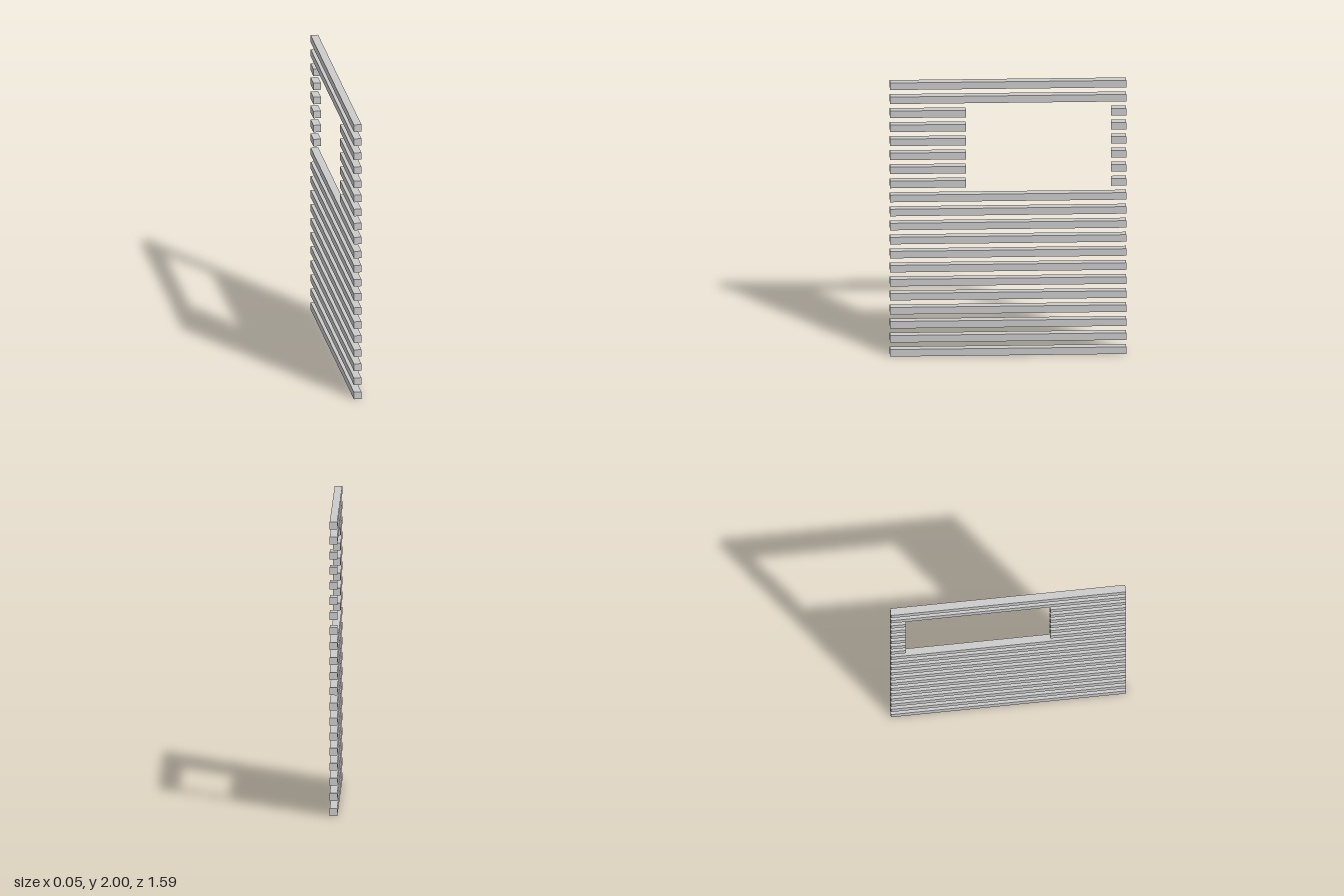
import * as THREE from 'three';

const SLATS = 20;
const H = 2 / (2 * SLATS - 1); // slat height, equal to the gap between slats
const DEPTH = 0.051;
const END = 0.795; // half length of the screen
const OPENING = { first: 12, last: 17, front: 0.284, back: -0.693 };

export function createModel() {
  const group = new THREE.Group();
  group.name = 'slattedScreen';
  const material = new THREE.MeshStandardMaterial({ color: 0xcccccc });

  // One horizontal slat running from z0 to z1 in the given row
  function addSlat(name, row, z0, z1) {
    const slat = new THREE.Mesh(new THREE.BoxGeometry(DEPTH, H, z1 - z0), material);
    slat.position.set(0, H * (2 * row + 0.5), (z0 + z1) / 2);
    slat.name = name;
    group.add(slat);
  }

  for (let row = 0; row < SLATS; row++) {
    if (row >= OPENING.first && row <= OPENING.last) {
      // Short slats on both sides of the window opening
      addSlat('frontShortSlat', row, OPENING.front, END);
      addSlat('backShortSlat', row, -END, OPENING.back);
    } else {
      addSlat('fullSlat', row, -END, END);
    }
  }
  return group;
}
